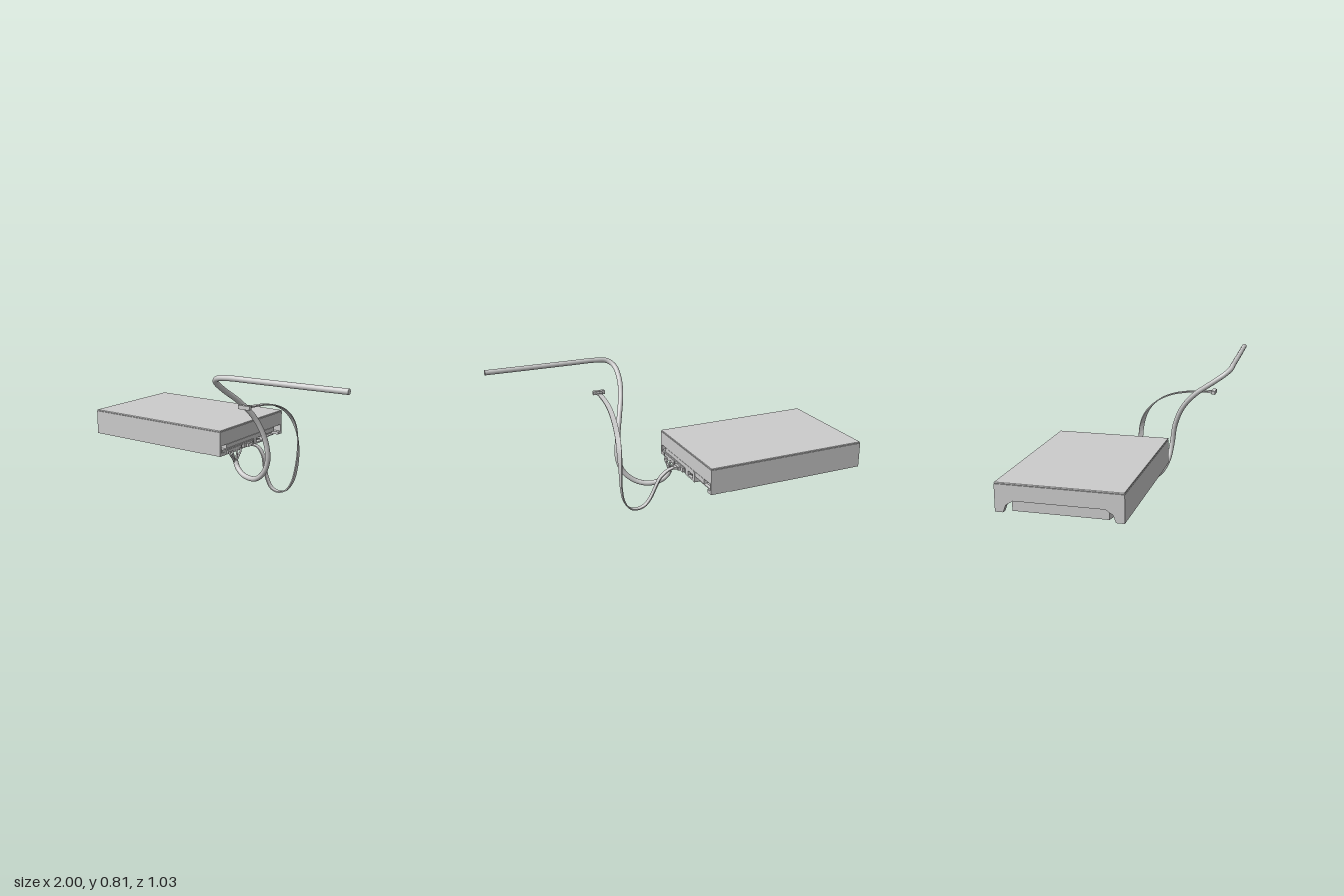
import * as THREE from 'three';
import { mergeVertices } from 'three/addons/utils/BufferGeometryUtils.js';

const grey = new THREE.MeshStandardMaterial({ color: 0xcccccc, side: THREE.DoubleSide });
const V = (p) => new THREE.Vector3(...p);
const curveOf = (pts) => new THREE.CatmullRomCurve3(pts.map(V), false, 'centripetal');

function shapeOf(pts) {
  return new THREE.Shape(pts.map(([x, y]) => new THREE.Vector2(x, y)));
}

// Strip of rectangular section whose width turns from one direction to another
function ribbon(curve, width, thick, from, to, steps) {
  const pos = [], idx = [];
  for (let i = 0; i <= steps; i++) {
    const t = i / steps;
    const c = curve.getPointAt(t), tan = curve.getTangentAt(t);
    const w = V(from).lerp(V(to), THREE.MathUtils.smoothstep(t, 0.4, 0.8));
    w.addScaledVector(tan, -w.dot(tan)).normalize();
    const n = new THREE.Vector3().crossVectors(tan, w);
    for (const [a, b] of [[-1, -1], [1, -1], [1, 1], [-1, 1]]) {
      const p = c.clone().addScaledVector(w, a * width / 2).addScaledVector(n, b * thick / 2);
      pos.push(p.x, p.y, p.z);
    }
    if (i < steps) for (let k = 0; k < 4; k++) {
      const a = i * 4 + k, b = i * 4 + (k + 1) % 4;
      idx.push(a, b, a + 4, b, b + 4, a + 4);
    }
  }
  const e = steps * 4;
  idx.push(0, 2, 1, 0, 3, 2, e, e + 1, e + 2, e, e + 2, e + 3);
  let g = new THREE.BufferGeometry();
  g.setAttribute('position', new THREE.Float32BufferAttribute(pos, 3));
  g.setIndex(idx);
  g = g.toNonIndexed();
  g.computeVertexNormals();
  return g;
}

export function createModel() {
  const root = new THREE.Group();
  const add = (name, geo, parent = root) => {
    const m = new THREE.Mesh(geo, grey);
    m.name = name;
    parent.add(m);
    return m;
  };
  // Box given by its ranges along x, y and z
  const box = (name, x0, x1, y0, y1, z0, z1, parent) => {
    const m = add(name, new THREE.BoxGeometry(x1 - x0, y1 - y0, z1 - z0), parent);
    m.position.set((x0 + x1) / 2, (y0 + y1) / 2, (z0 + z1) / 2);
    return m;
  };
  // Outline in x and z, extruded upward from y0 to y1
  const slab = (name, pts, y0, y1, parent) => {
    const g = new THREE.ExtrudeGeometry(shapeOf(pts.map(([x, z]) => [x, -z])), { depth: y1 - y0, bevelEnabled: false });
    g.rotateX(-Math.PI / 2).translate(0, y0, 0);
    return add(name, g, parent);
  };

  const Z0 = -0.52, Z1 = 0.165, ZC = (Z0 + Z1) / 2;

  // Drive casing
  const drive = new THREE.Group();
  drive.name = 'driveCasing';
  root.add(drive);
  box('coverBody', -1, 0, 0.3, 0.385, Z0, Z1, drive);
  const lid = add('lid', new THREE.ExtrudeGeometry(
    shapeOf([[-0.994, Z0 + 0.006], [-0.006, Z0 + 0.006], [-0.006, Z1 - 0.006], [-0.994, Z1 - 0.006]]),
    { depth: 0.002, bevelThickness: 0.004, bevelSize: 0.005, bevelSegments: 2 }), drive);
  lid.rotation.x = Math.PI / 2;
  lid.position.y = 0.391;

  // Side skirts with the lower edge raised toward the connector end
  const skirtShape = shapeOf([[-1, 0.3], [-1, 0.235], [-0.12, 0.235], [-0.1, 0.24], [-0.075, 0.252], [0, 0.252], [0, 0.3]]);
  for (const z of [Z0, Z1 - 0.015]) {
    const g = new THREE.ExtrudeGeometry(skirtShape, { depth: 0.015, bevelEnabled: false });
    g.translate(0, 0, z);
    add('sideSkirt', g, drive);
  }

  // Corner feet and sloped gussets at the far end
  for (const s of [-1, 1]) {
    const h = (Z1 - Z0) / 2;
    const pts = [[h, 0.3], [h, 0.235], [h - 0.045, 0.235], [h - 0.06, 0.275], [h - 0.1, 0.3]]
      .map(([z, y]) => [-(ZC + s * z), y]);
    const g = new THREE.ExtrudeGeometry(shapeOf(pts), { depth: 0.03, bevelEnabled: false });
    g.rotateY(Math.PI / 2).translate(-1, 0, 0);
    add('endFoot', g, drive);
    const zo = s < 0 ? Z0 : Z1 - 0.045;
    box('frontFoot', -0.1, 0, 0.237, 0.255, zo, zo + 0.045, drive);
  }

  // Base plate with cut corners, circuit board and motor hub
  slab('basePlate', [[-0.05, Z0 + 0.01], [-0.05, Z1 - 0.01], [-0.77, Z1 - 0.01], [-0.85, Z1 - 0.055],
    [-0.975, Z1 - 0.085], [-0.975, Z0 + 0.085], [-0.85, Z0 + 0.055], [-0.77, Z0 + 0.01]], 0.238, 0.302, drive);
  box('circuitBoard', -0.5, -0.03, 0.2345, 0.24, Z0 + 0.05, Z1 - 0.04, drive);
  const hub = add('motorHub', new THREE.CylinderGeometry(0.135, 0.13, 0.008, 48), drive);
  hub.position.set(-0.69, 0.234, ZC);
  const hubRing = add('hubRing', new THREE.TorusGeometry(0.137, 0.003, 6, 48), drive);
  hubRing.rotation.x = Math.PI / 2;
  hubRing.position.set(-0.69, 0.237, ZC);
  box('hubChannel', -0.57, -0.5, 0.2345, 0.24, ZC - 0.02, ZC + 0.02, drive);

  // Sockets on the connector end
  const sockets = new THREE.Group();
  sockets.name = 'sockets';
  root.add(sockets);
  box('socketRail', -0.06, 0, 0.27, 0.298, -0.43, 0.1, sockets);
  box('socketBody', -0.08, -0.002, 0.235, 0.272, -0.18, 0.14, sockets);
  box('powerPlug', -0.01, 0.008, 0.238, 0.266, -0.045, 0.095, sockets);
  box('plugLip', -0.01, 0.005, 0.262, 0.274, -0.18, 0.1, sockets);
  box('jumperStrip', -0.04, 0.003, 0.232, 0.295, -0.315, -0.3, sockets);

  // Framed jumper opening with a keyed outline
  const frame = shapeOf([[0.19, 0.232], [0.3, 0.232], [0.3, 0.296], [0.19, 0.296]]);
  frame.holes.push(new THREE.Path([[0.222, 0.242], [0.285, 0.242], [0.285, 0.277], [0.265, 0.277], [0.265, 0.287],
    [0.243, 0.287], [0.243, 0.277], [0.222, 0.277]].map(([x, y]) => new THREE.Vector2(x, y))));
  const frameGeo = new THREE.ExtrudeGeometry(frame, { depth: 0.045, bevelEnabled: false });
  frameGeo.rotateY(Math.PI / 2).translate(-0.045, 0, 0);
  add('jumperSocket', frameGeo, sockets);
  for (const z of [-0.245, -0.262]) box('jumperPin', -0.05, -0.006, 0.252, 0.257, z - 0.003, z + 0.003, sockets);

  // Thick power cable
  const power = curveOf([[0.008, 0.18, 0.018], [0.025, 0.147, 0.024], [0.07, 0.113, 0.038], [0.14, 0.102, 0.057],
    [0.21, 0.122, 0.085], [0.275, 0.18, 0.108], [0.308, 0.27, 0.122], [0.296, 0.4, 0.143], [0.262, 0.52, 0.195],
    [0.218, 0.62, 0.28], [0.188, 0.7, 0.385], [0.19, 0.755, 0.46], [0.225, 0.783, 0.493], [0.3, 0.793, 0.496],
    [0.45, 0.795, 0.493], [0.7, 0.797, 0.487], [0.995, 0.8, 0.48]]);
  add('powerCable', new THREE.TubeGeometry(power, 160, 0.0155, 16));
  for (const [t, turn] of [[0, -1], [1, 1]]) {
    const cap = add('cableEnd', new THREE.CircleGeometry(0.0155, 16));
    cap.position.copy(power.getPointAt(t));
    cap.lookAt(cap.position.clone().addScaledVector(power.getTangentAt(t), turn));
  }

  // Wires fanning out into the power plug
  for (const z of [0.078, 0.052, 0.005, -0.032]) {
    const end = 0.018 + (z - 0.022) * 0.15;
    add('fanWire', new THREE.TubeGeometry(curveOf([[0.004, 0.25, z], [0.012, 0.235, z],
      [0.01, 0.205, (z + end) / 2], [0.008, 0.172, end]]), 20, 0.006, 8));
  }

  // Flat data cable, twisting along its way
  const data = curveOf([[0.03, 0.258, -0.118], [0.08, 0.248, -0.12], [0.125, 0.205, -0.108], [0.15, 0.14, -0.09],
    [0.178, 0.07, -0.078], [0.215, 0.022, -0.071], [0.26, 0.008, -0.07], [0.31, 0.022, -0.074],
    [0.35, 0.08, -0.083], [0.37, 0.17, -0.094], [0.376, 0.28, -0.102], [0.374, 0.39, -0.087], [0.368, 0.47, -0.05],
    [0.36, 0.535, 0.015], [0.35, 0.58, 0.1], [0.341, 0.603, 0.19], [0.334, 0.612, 0.28], [0.328, 0.617, 0.372]]);
  add('dataCable', ribbon(data, 0.03, 0.007, [0, 0, 1], [1, 0, 0], 120));

  // Data plug at the drive and connector at the free end
  const dataPlug = new THREE.Group();
  dataPlug.name = 'dataPlug';
  root.add(dataPlug);
  box('plugShell', -0.01, 0.013, 0.242, 0.27, -0.175, -0.065, dataPlug);
  box('plugNeck', 0.013, 0.028, 0.245, 0.267, -0.147, -0.09, dataPlug);
  box('plugSleeve', 0.028, 0.045, 0.25, 0.264, -0.136, -0.1, dataPlug);
  const freeEnd = new THREE.Group();
  freeEnd.name = 'freeConnector';
  root.add(freeEnd);
  box('connectorShell', 0.288, 0.362, 0.608, 0.63, 0.37, 0.393, freeEnd);
  box('connectorNeck', 0.31, 0.345, 0.611, 0.625, 0.345, 0.372, freeEnd);

  return root;
}
